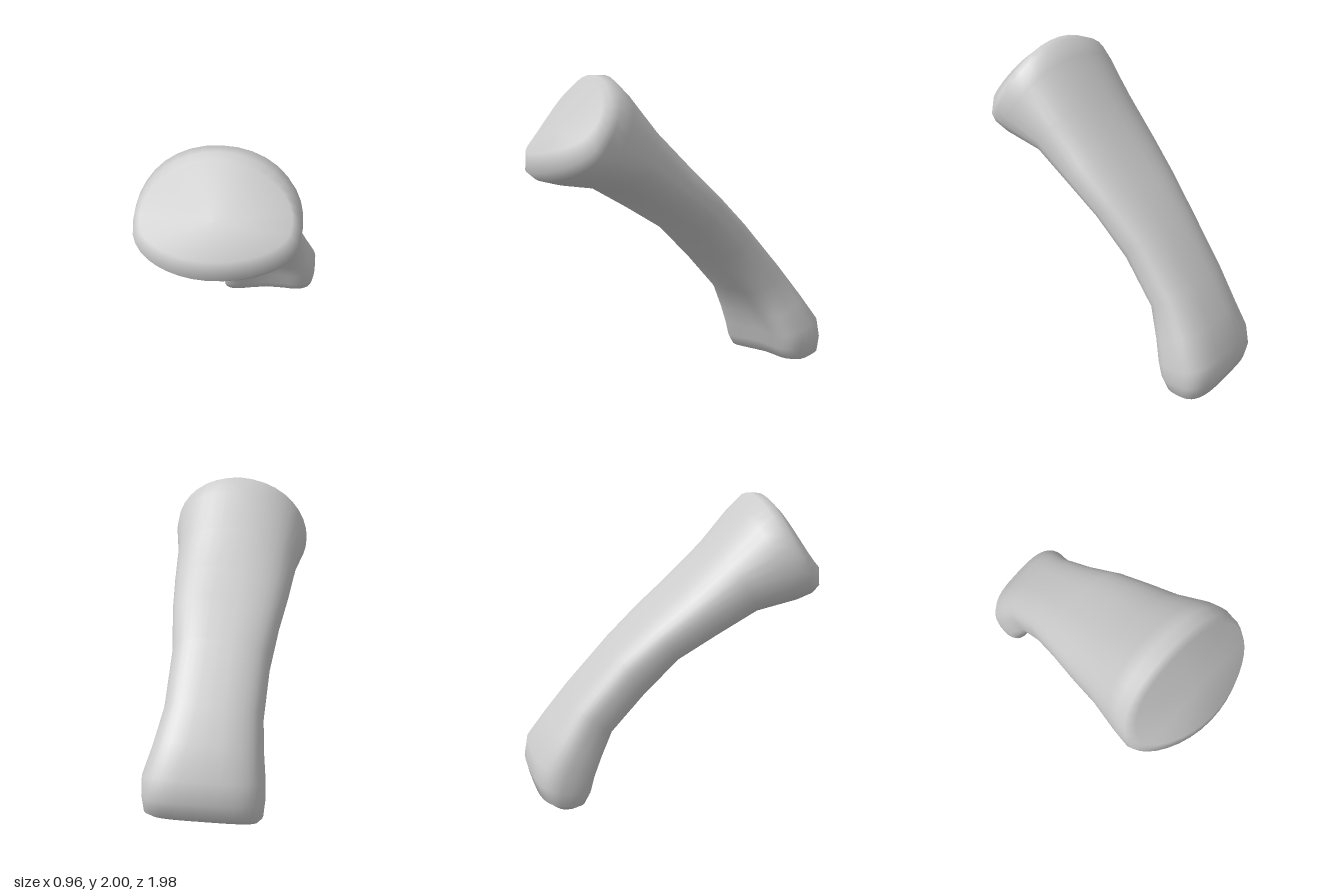
import * as THREE from 'three';

const { lerp, smoothstep } = THREE.MathUtils;
const SIDES = 36;

// Each section: [zUnder, yUnder, zTop, yTop, xMin, xMax]
const SECTIONS = [
  // joint face and its rim
  [0.98, 1.53, 0.65, 1.96, -0.42, 0.43],
  [0.985, 1.41, 0.61, 2.00, -0.47, 0.475],
  [0.92, 1.36, 0.54, 2.00, -0.48, 0.48],
  [0.80, 1.315, 0.45, 1.91, -0.465, 0.475],
  // shaft
  [0.51, 1.255, 0.25, 1.67, -0.41, 0.43],
  [0.25, 1.11, 0.01, 1.43, -0.365, 0.415],
  [0.00, 0.96, -0.19, 1.245, -0.315, 0.395],
  [-0.22, 0.725, -0.41, 1.04, -0.265, 0.36],
  [-0.43, 0.495, -0.70, 0.71, -0.24, 0.37],
  // double knuckle at the lower end
  [-0.51, 0.33, -0.85, 0.50, -0.25, 0.42],
  [-0.56, 0.21, -0.965, 0.32, -0.265, 0.47],
  [-0.59, 0.11, -0.985, 0.19, -0.265, 0.47],
  [-0.64, 0.04, -0.96, 0.085, -0.255, 0.455],
  [-0.72, 0.02, -0.89, 0.04, -0.225, 0.41],
];
const LAST = SECTIONS.length - 1;

const signedPow = (v, p) => Math.sign(v) * Math.pow(Math.abs(v), p);

// One closed ring: rounded above, flatter and hollowed below
function ring([zU, yU, zT, yT, xMin, xMax], i) {
  const p = Math.max(0, (i - 1) / (LAST - 1)); // 0 at the rim, 1 at the tip
  const shaft = smoothstep(p, 0.1, 0.3) * (1 - smoothstep(p, 0.5, 0.7));
  const mid = lerp(0.34, 0.5, p) + 0.08 * shaft; // level of the widest point
  const square = lerp(1, 0.52, p);
  const crown = lerp(1.15, 0.65, Math.sqrt(p)); // the rim comes to a blunt peak
  const hollow = 0.09 * smoothstep(p, 0.1, 0.3) + 0.08 * smoothstep(p, 0.5, 0.7);
  const bend = 0.5 * Math.max(0, 1 - 4 * p); // sides of the joint face sweep back
  const skew = 0.03 * smoothstep(p, 0.5, 0.75); // one knuckle sits further back
  const points = [];
  for (let j = 0; j < SIDES; j++) {
    const a = (j / SIDES) * Math.PI * 2;
    const c = Math.cos(a), s = Math.sin(a);
    const u = signedPow(c, square);
    const x = (xMin + xMax) / 2 + (u * (xMax - xMin)) / 2;
    // the shaft's left flank is cut away beneath its side ridge
    const under = 0.65 + (c > 0 ? 0.5 * shaft * smoothstep(c, 0, 0.5) : 0);
    const t = s >= 0
      ? mid + (1 - mid) * Math.pow(s, crown)
      : mid - mid * Math.pow(-s, under) + hollow * Math.pow(1 - u * u, 2);
    points.push(x, lerp(yU, yT, t) + 0.025 * u, lerp(zU, zT, t) - bend * x * x - skew * u);
  }
  return points;
}

function boneGeometry() {
  const positions = SECTIONS.flatMap(ring);
  const faceCentre = SECTIONS.length * SIDES;
  const tipCentre = faceCentre + 1;
  positions.push(0, 1.68, 0.82, 0.1, 0.04, -0.81);

  const index = [];
  for (let j = 0; j < SIDES; j++) {
    const k = (j + 1) % SIDES;
    for (let i = 0; i < LAST; i++) {
      const a = i * SIDES + j, b = i * SIDES + k;
      index.push(a, a + SIDES, b, b, a + SIDES, b + SIDES);
    }
    // end caps
    index.push(faceCentre, j, k);
    index.push(tipCentre, LAST * SIDES + k, LAST * SIDES + j);
  }

  const geometry = new THREE.BufferGeometry();
  geometry.setAttribute('position', new THREE.Float32BufferAttribute(positions, 3));
  geometry.setIndex(index);
  geometry.computeVertexNormals();
  return geometry;
}

export function createModel() {
  const group = new THREE.Group();
  group.name = 'fingerBone';
  const bone = new THREE.Mesh(boneGeometry(), new THREE.MeshStandardMaterial({ color: 0xcccccc }));
  bone.name = 'bone';
  group.add(bone);
  return group;
}
